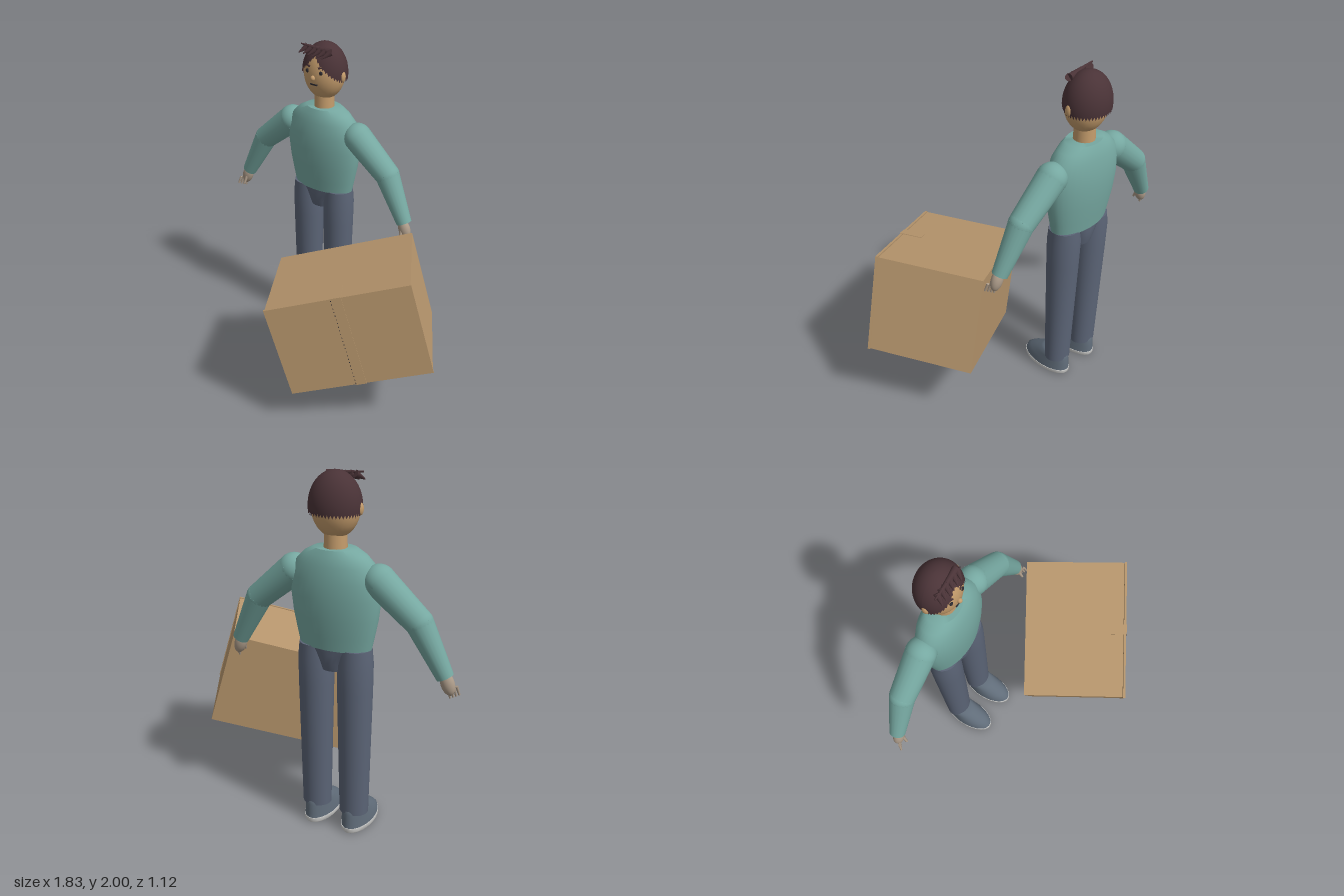
import * as THREE from 'three';
import { toCreasedNormals } from 'three/addons/utils/BufferGeometryUtils.js';

const mat = (name, color) => { const m = new THREE.MeshStandardMaterial({ color }); m.name = name; return m; };
const V = (x, y, z) => new THREE.Vector3(x, y, z);

// stacked horizontal ellipses, each ring [y, rx, rz, z offset], closed at both ends
function loft(rings, n = 28) {
  const first = rings[0], last = rings[rings.length - 1];
  const all = [[first[0], 0, 0, first[3]], ...rings, [last[0], 0, 0, last[3]]];
  const pos = [], idx = [];
  all.forEach(([y, rx, rz, oz = 0], i) => {
    for (let j = 0; j < n; j++) {
      const a = j / n * Math.PI * 2;
      pos.push(rx * Math.cos(a), y, oz + rz * Math.sin(a));
      if (i === all.length - 1) continue;
      const p = i * n + j, q = i * n + (j + 1) % n;
      if (i > 0) idx.push(p, p + n, q);
      if (i < all.length - 2) idx.push(q, p + n, q + n);
    }
  });
  const g = new THREE.BufferGeometry();
  g.setAttribute('position', new THREE.Float32BufferAttribute(pos, 3));
  g.setIndex(idx);
  return toCreasedNormals(g, 0.8);
}

export function createModel() {
  const root = new THREE.Group();
  root.name = 'manWithBox';
  const skin = mat('skin', 0xc49c6c), hairMat = mat('hair', 0x4a3337), shirt = mat('shirt', 0x76a8a1),
    pants = mat('trousers', 0x5b6476), shoeMat = mat('shoe', 0x606c79), soleMat = mat('sole', 0xd2d2d0),
    glove = mat('hand', 0xab9a88), ink = mat('ink', 0x2c2a30), card = mat('cardboard', 0xb7966d);

  const add = (parent, name, geo, material, x = 0, y = 0, z = 0) => {
    const m = new THREE.Mesh(geo, material);
    m.name = name;
    m.position.set(x, y, z);
    parent.add(m);
    return m;
  };
  const ball = (parent, name, material, x, y, z, rx, ry = rx, rz = rx) => {
    const m = add(parent, name, new THREE.SphereGeometry(1, 24, 16), material, x, y, z);
    m.scale.set(rx, ry, rz);
    return m;
  };
  // tapered rod from p to q
  const rod = (parent, name, material, p, q, r1, r2, sides = 20) => {
    const d = q.clone().sub(p);
    const m = add(parent, name, new THREE.CylinderGeometry(r2, r1, d.length(), sides), material);
    m.position.copy(p).addScaledVector(d, 0.5);
    m.quaternion.setFromUnitVectors(V(0, 1, 0), d.normalize());
    return m;
  };

  const man = new THREE.Group();
  man.name = 'man';
  man.position.set(-0.245, 0, -0.435);
  root.add(man);

  // torso, pelvis and neck
  add(man, 'torso', loft([[1.08, 0.205, 0.098], [1.15, 0.22, 0.108], [1.25, 0.24, 0.122], [1.36, 0.253, 0.13],
    [1.45, 0.25, 0.128], [1.53, 0.225, 0.117], [1.58, 0.175, 0.103], [1.61, 0.12, 0.088]], 36), shirt);
  add(man, 'pelvis', loft([[0.955, 0.08, 0.075], [1.0, 0.095, 0.088], [1.05, 0.13, 0.094], [1.09, 0.195, 0.095]]), pants);
  add(man, 'neck', new THREE.CylinderGeometry(0.058, 0.062, 0.12, 24), skin, 0, 1.64, 0);

  // head and face
  const head = new THREE.Group();
  head.name = 'head';
  head.position.set(0, 1.82, 0);
  man.add(head);
  ball(head, 'face', skin, 0, 0, 0, 0.13, 0.162, 0.114);
  const faceZ = (x, y) => 0.114 * Math.sqrt(1 - (x / 0.13) ** 2 - (y / 0.162) ** 2);
  for (const s of [-1, 1]) {
    ball(head, 'ear', skin, s * 0.135, -0.005, 0.005, 0.014, 0.032, 0.02);
    ball(head, 'eye', ink, s * 0.048, 0.025, faceZ(0.048, 0.025), 0.012, 0.012, 0.007);
    const brow = add(head, 'eyebrow', new THREE.BoxGeometry(0.045, 0.009, 0.009), hairMat, s * 0.05, 0.056, faceZ(0.05, 0.056));
    brow.rotation.set(0, s * 0.35, s * 0.12);
  }
  ball(head, 'nose', skin, 0, -0.01, faceZ(0, -0.01) + 0.004, 0.014, 0.016, 0.014);
  add(head, 'mouth', new THREE.BoxGeometry(0.05, 0.008, 0.009), ink, 0, -0.05, faceZ(0.015, -0.05));

  // hair cap: a sphere whose lower edge rises to a parting over the face
  const cap = new THREE.SphereGeometry(1, 48, 16), cp = cap.attributes.position;
  for (let i = 0; i < cp.count; i++) {
    const phi = cap.attributes.uv.getX(i) * Math.PI * 2, t = 1 - cap.attributes.uv.getY(i);
    const edge = Math.sin(phi) > 0 ? 0.62 - 0.86 * Math.abs(Math.cos(phi)) : -0.24;
    const a = t * Math.acos(edge);
    cp.setXYZ(i, -0.141 * Math.cos(phi) * Math.sin(a), 0.18 * Math.cos(a), 0.126 * Math.sin(phi) * Math.sin(a));
  }
  cap.computeVertexNormals();
  const hairShell = hairMat.clone();
  hairShell.side = THREE.DoubleSide;
  add(head, 'hairCap', cap, hairShell, 0, 0, -0.005);
  // swept fringe
  for (let i = 0; i < 6; i++) {
    const x = -0.09 + i * 0.032, y = 0.152 - 0.002 * i;
    rod(head, 'fringeTuft', hairMat, V(x + 0.012, y + 0.002, 0.06), V(x - 0.018, y - 0.03, 0.108), 0.021, 0.003, 8);
  }
  rod(head, 'fringeRoot', hairMat, V(0.08, 0.145, 0.058), V(-0.115, 0.165, 0.075), 0.02, 0.004, 10);

  for (const s of [-1, 1]) {
    // arm
    const arm = new THREE.Group();
    arm.name = s > 0 ? 'leftArm' : 'rightArm';
    man.add(arm);
    const shoulder = V(s * 0.245, 1.465, 0), elbow = V(s * 0.465, 1.28, 0), wrist = V(s * 0.608, 1.01, 0.015);
    ball(arm, 'shoulder', shirt, shoulder.x, shoulder.y, 0, 0.086);
    rod(arm, 'upperSleeve', shirt, shoulder, elbow, 0.086, 0.073);
    ball(arm, 'elbow', shirt, elbow.x, elbow.y, 0, 0.073);
    rod(arm, 'lowerSleeve', shirt, elbow, wrist, 0.073, 0.046);
    // hand
    const palm = ball(arm, 'palm', glove, s * 0.618, 0.975, 0.025, 0.037, 0.066, 0.032);
    palm.rotation.z = s * 0.35;
    for (let i = 0; i < 4; i++) {
      const x = s * (0.622 + i * 0.012), z = 0.02 + i * 0.011;
      rod(arm, 'finger', glove, V(x, 0.955, z), V(x + s * 0.012, 0.895 + 0.004 * i, z + 0.012), 0.008, 0.006, 8);
    }
    rod(arm, 'thumb', glove, V(s * 0.61, 0.975, 0.045), V(s * 0.615, 0.925, 0.068), 0.011, 0.007, 8);

    // leg
    const leg = new THREE.Group();
    leg.name = s > 0 ? 'leftLeg' : 'rightLeg';
    leg.position.x = s * 0.116;
    man.add(leg);
    add(leg, 'trouserLeg', loft([[0.11, 0.082, 0.073], [0.5, 0.09, 0.083], [0.85, 0.097, 0.092],
      [1.0, 0.098, 0.095], [1.085, 0.09, 0.088]]), pants);
    add(leg, 'shoe', loft([[0.03, 0.084, 0.165, 0.079], [0.055, 0.082, 0.16, 0.076], [0.08, 0.077, 0.145, 0.063],
      [0.11, 0.072, 0.118, 0.04], [0.135, 0.067, 0.095, 0.022], [0.145, 0.058, 0.082, 0.018]]), shoeMat);
    add(leg, 'sole', loft([[0, 0.078, 0.16, 0.079], [0.01, 0.086, 0.168, 0.079], [0.031, 0.086, 0.168, 0.079]]), soleMat);
  }

  // tilted carton, its flaps facing local +z
  const carton = new THREE.Group();
  carton.name = 'carton';
  const ax = V(0.825, 0.277, -0.494).normalize(), az = V(0.504, 0.057, 0.862);
  const ay = az.clone().cross(ax).normalize();
  az.crossVectors(ax, ay);
  carton.quaternion.setFromRotationMatrix(new THREE.Matrix4().makeBasis(ax, ay, az));
  carton.position.set(0.336, 0.621, 0.061);
  root.add(carton);
  const W = 0.825, H = 0.574, D = 0.612;
  add(carton, 'cartonBody', new THREE.BoxGeometry(W - 0.008, H - 0.008, D - 0.016), card, 0, 0, -0.008);
  for (const s of [-1, 1]) {
    add(carton, 'flap', new THREE.BoxGeometry(W / 2 - 0.002, H, 0.013), card, s * (W / 4 + 0.001), 0, D / 2 - 0.0065);
    add(carton, 'tapeEnd', new THREE.BoxGeometry(0.06, 0.004, 0.13), card, 0, s * (H / 2 + 0.001), D / 2 - 0.064);
  }
  add(carton, 'tape', new THREE.BoxGeometry(0.06, H + 0.006, 0.004), card, 0, 0, D / 2 + 0.001);

  // perforation dots along the tape edge
  for (let i = 0; i < 24; i++)
    add(carton, 'perforation', new THREE.BoxGeometry(0.004, 0.006, 0.002), ink, -0.03, (i / 23 - 0.5) * (H - 0.02), D / 2 + 0.003);

  // printed arrows on the lower side
  const plate = (x, z, w, d, turn = 0) => {
    add(carton, 'printedArrow', new THREE.BoxGeometry(w, 0.003, d), ink, x, -H / 2 + 0.003, z).rotation.y = turn;
  };
  for (const x of [-0.225, -0.145]) {
    plate(x, 0, 0.007, 0.16);
    for (const s of [-1, 1]) plate(x + s * 0.011, 0.069, 0.007, 0.036, -s * 0.75);
  }
  plate(-0.185, -0.1, 0.14, 0.007);
  return root;
}
